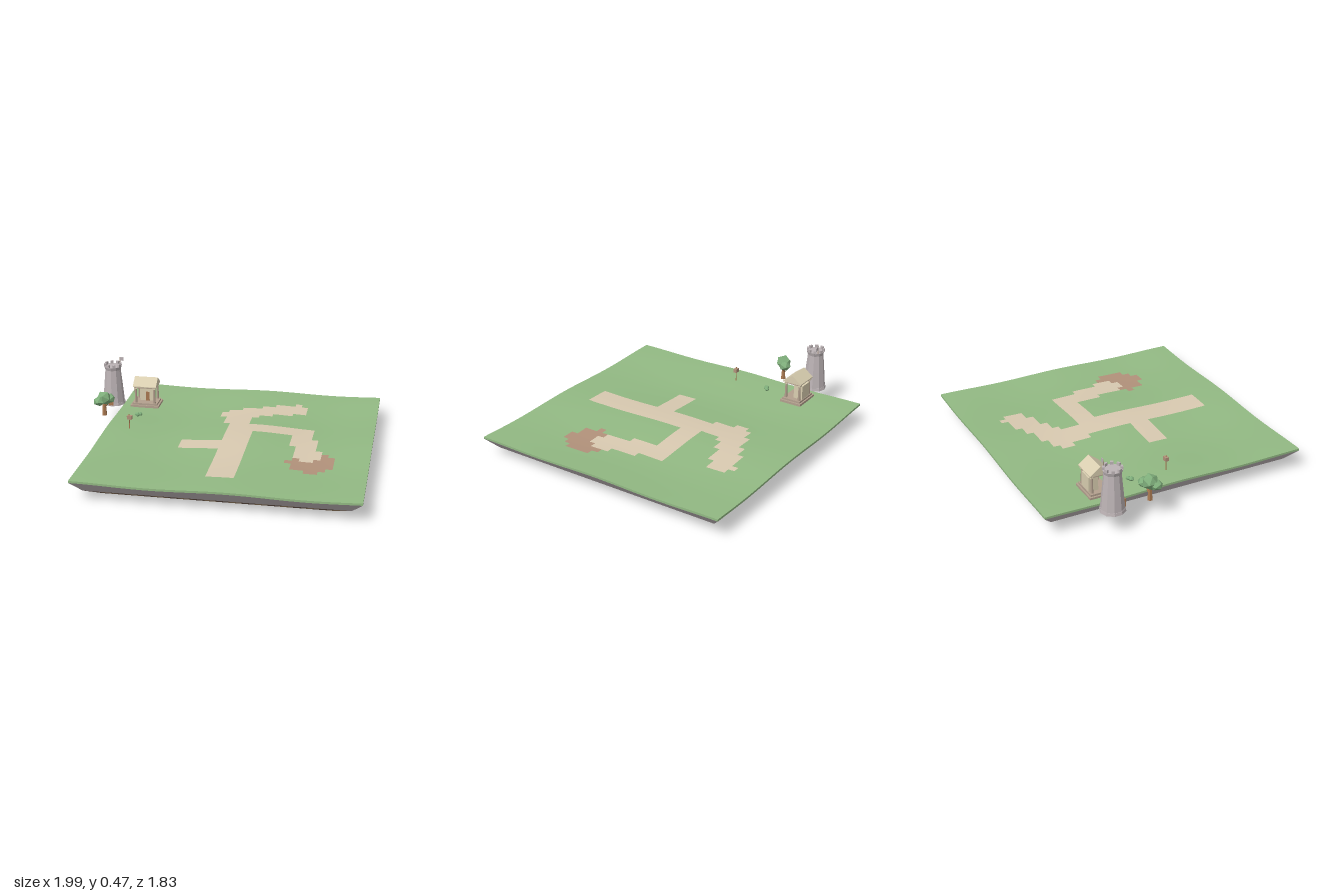
import * as THREE from 'three';

const mat = (name, color) => {
  const m = new THREE.MeshStandardMaterial({ color });
  m.name = name;
  return m;
};
const N = 40, SIZE = 1.83, HALF = SIZE / 2, CX = 0.085;

// Gently rolling ground height
const height = (x, z) => 0.138 + 0.011 * Math.cos(2 * Math.PI * (x - 0.17))
  * (0.75 + 0.25 * Math.cos(z * 3)) + 0.004 * Math.cos(z * 7);

// Cell rectangles on the 40 x 40 ground grid: column from/to, row from/to
const PATH = [
  [18, 22, 15, 35], [12, 18, 22, 25], [22, 31, 15, 18], [28, 31, 18, 19],
  [28, 32, 19, 22], [29, 32, 22, 23], [29, 33, 23, 26], [30, 32, 26, 27],
  [27, 28, 5, 6], [24, 29, 6, 7], [22, 29, 7, 8], [19, 29, 8, 9],
  [17, 27, 9, 10], [16, 24, 10, 11], [16, 22, 11, 12], [17, 21, 12, 15],
];
const DIRT = [
  [33, 34, 24, 25], [33, 35, 25, 26], [29, 35, 26, 27], [28, 35, 27, 28],
  [29, 35, 28, 29], [29, 34, 29, 30], [31, 33, 30, 31],
];
const inside = (rects, i, j) => rects.some(([a, b, c, d]) => i >= a && i < b && j >= c && j < d);

export function createModel() {
  const root = new THREE.Group();
  root.name = 'islandDiorama';

  const grass = mat('grass', 0x92b983), path = mat('path', 0xd8c9b0), dirt = mat('dirt', 0xb1917a);
  const stone = mat('stone', 0xbcb3b5), soilDark = mat('darkSoil', 0x725d51), soilLight = mat('lightSoil', 0xa58a6d);
  const cream = mat('creamStone', 0xd9ceb0), leaf = mat('leaf', 0x7fae7b);
  const wood = mat('wood', 0xa87850), plinth = mat('plinthStone', 0xb3a08e);
  [stone, leaf, wood].forEach((m) => { m.flatShading = true; });

  const add = (parent, name, geo, material, x = 0, y = 0, z = 0) => {
    const m = new THREE.Mesh(geo, material);
    m.name = name;
    m.position.set(x, y, z);
    parent.add(m);
    return m;
  };
  const group = (name, x, y, z) => {
    const g = new THREE.Group();
    g.name = name;
    g.position.set(x, y, z);
    root.add(g);
    return g;
  };
  const box = (w, h, d) => new THREE.BoxGeometry(w, h, d);

  // Ground with path and dirt cells
  const ground = new THREE.PlaneGeometry(SIZE, SIZE, N, N).rotateX(-Math.PI / 2).translate(CX, 0, 0);
  const pos = ground.attributes.position;
  for (let i = 0; i < pos.count; i++) pos.setY(i, height(pos.getX(i), pos.getZ(i)));
  ground.computeVertexNormals();
  for (let j = 0; j < N; j++) {
    for (let i = 0; i < N; i++) {
      const kind = inside(PATH, i, j) ? 1 : inside(DIRT, i, j) ? 2 : 0;
      ground.addGroup((j * N + i) * 6, 6, kind);
    }
  }
  add(root, 'ground', ground, [grass, path, dirt]);

  // Point on the square perimeter, running front, right, back, left
  const rim = (k, inset, yOf) => {
    const side = Math.floor(k / N) % 4, t = (k % N) / N * 2 - 1;
    const [u, v] = [[t, 1], [1, -t], [-t, -1], [-1, t]][side];
    const x = u * (HALF - inset) + CX, z = v * (HALF - inset);
    return [x, yOf(u * HALF + CX, v * HALF), z];
  };
  // Band around the island between two rims, with alternating materials
  const band = (name, inA, yA, inB, yB, mats, step = 2) => {
    const verts = [], geo = new THREE.BufferGeometry();
    for (let k = 0; k < 4 * N; k++) {
      const a = rim(k, inA, yA), b = rim(k + 1, inA, yA), c = rim(k, inB, yB), d = rim(k + 1, inB, yB);
      verts.push(...c, ...d, ...b, ...c, ...b, ...a);
      geo.addGroup(k * 6, 6, Math.floor(k / step) % mats.length);
    }
    geo.setAttribute('position', new THREE.Float32BufferAttribute(verts, 3));
    geo.computeVertexNormals();
    add(root, name, geo, mats);
  };
  const turfBase = (x, z) => height(x, z) - 0.014;
  band('turfEdge', 0, height, 0, turfBase, [grass]);
  band('rockBand', 0, turfBase, 0.07, () => 0.056, [stone]);
  band('soilBand', 0.07, () => 0.056, 0.17, () => 0, [soilDark, soilLight]);
  const under = SIZE - 0.34;
  add(root, 'underside', new THREE.PlaneGeometry(under, under).rotateX(Math.PI / 2), soilDark, CX, 0, 0);

  // Tower
  const tower = group('tower', -0.915, 0.135, -0.505);
  const drum = (name, rTop, rBottom, y0, y1) =>
    add(tower, name, new THREE.CylinderGeometry(rTop, rBottom, y1 - y0, 10), stone, 0, (y0 + y1) / 2, 0);
  drum('towerBase', 0.08, 0.084, 0, 0.02);
  drum('towerLowerWall', 0.067, 0.078, 0.02, 0.14);
  drum('towerUpperWall', 0.055, 0.067, 0.14, 0.265);
  drum('towerParapet', 0.064, 0.056, 0.26, 0.285);
  for (let i = 0; i < 8; i++) {
    const a = (i + 0.5) / 8 * Math.PI * 2;
    const merlon = add(tower, 'merlon', box(0.022, 0.022, 0.014), stone, Math.sin(a) * 0.056, 0.294, Math.cos(a) * 0.056);
    merlon.rotation.y = a;
  }
  add(tower, 'towerDoor', box(0.032, 0.055, 0.012), wood, 0, 0.034, 0.076);
  add(tower, 'flagPole', new THREE.CylinderGeometry(0.003, 0.003, 0.06, 6), plinth, 0.042, 0.31, -0.04);
  add(tower, 'flag', box(0.026, 0.026, 0.004), stone, 0.056, 0.326, -0.04);

  // Temple
  const temple = group('temple', -0.668, 0.14, -0.505);
  add(temple, 'lowerStep', box(0.205, 0.016, 0.16), plinth, 0, 0.008, 0);
  add(temple, 'upperStep', box(0.18, 0.014, 0.138), plinth, 0, 0.022, 0);
  add(temple, 'innerRoom', box(0.1, 0.1, 0.066), cream, 0, 0.079, -0.032);
  add(temple, 'doorway', box(0.026, 0.066, 0.008), wood, 0.008, 0.062, 0.003);
  for (const sx of [-1, 1]) {
    for (const sz of [-1, 1]) {
      const x = sx * 0.068, z = sz * 0.052;
      add(temple, 'column', new THREE.CylinderGeometry(0.008, 0.01, 0.106, 8), plinth, x, 0.082, z);
      add(temple, 'columnCap', box(0.022, 0.008, 0.022), cream, x, 0.138, z);
    }
  }
  add(temple, 'lintel', box(0.155, 0.012, 0.122), plinth, 0, 0.146, 0);
  const gable = new THREE.Shape([[-0.07, 0], [0.07, 0], [0.07, 0.006], [0, 0.06], [-0.07, 0.006]]
    .map(([x, y]) => new THREE.Vector2(x, y)));
  const roof = new THREE.ExtrudeGeometry(gable, { depth: 0.17, bevelEnabled: false })
    .translate(0, 0, -0.085).rotateY(Math.PI / 2);
  add(temple, 'roof', roof, cream, 0, 0.15, 0);

  // Tree
  const tree = group('tree', -0.917, 0.135, -0.25);
  add(tree, 'trunk', new THREE.CylinderGeometry(0.01, 0.018, 0.1, 6), wood, 0, 0.05, 0);
  const branch = add(tree, 'branch', new THREE.CylinderGeometry(0.004, 0.007, 0.05, 5), wood, 0.018, 0.075, -0.01);
  branch.rotation.z = -0.8;
  const blob = (parent, name, x, y, z, rx, ry, rz) => {
    const m = add(parent, name, new THREE.IcosahedronGeometry(1, 0), leaf, x, y, z);
    m.scale.set(rx, ry, rz);
    m.rotation.y = x * 40;
  };
  blob(tree, 'crown', 0, 0.128, 0, 0.054, 0.054, 0.056);
  blob(tree, 'crown', -0.028, 0.112, 0.028, 0.043, 0.034, 0.043);
  blob(tree, 'crown', 0.03, 0.118, -0.026, 0.043, 0.036, 0.045);

  // Bush
  const bush = group('bush', -0.67, 0.145, -0.255);
  blob(bush, 'bushClump', -0.007, 0.01, 0.004, 0.02, 0.016, 0.02);
  blob(bush, 'bushClump', 0.012, 0.009, -0.01, 0.017, 0.014, 0.017);

  // Signpost
  const sign = group('signpost', -0.67, 0.14, 0);
  add(sign, 'post', new THREE.CylinderGeometry(0.003, 0.004, 0.115, 6), wood, 0, 0.0575, 0);
  add(sign, 'signBoard', box(0.034, 0.026, 0.024), dirt, 0.003, 0.09, 0);

  return root;
}
